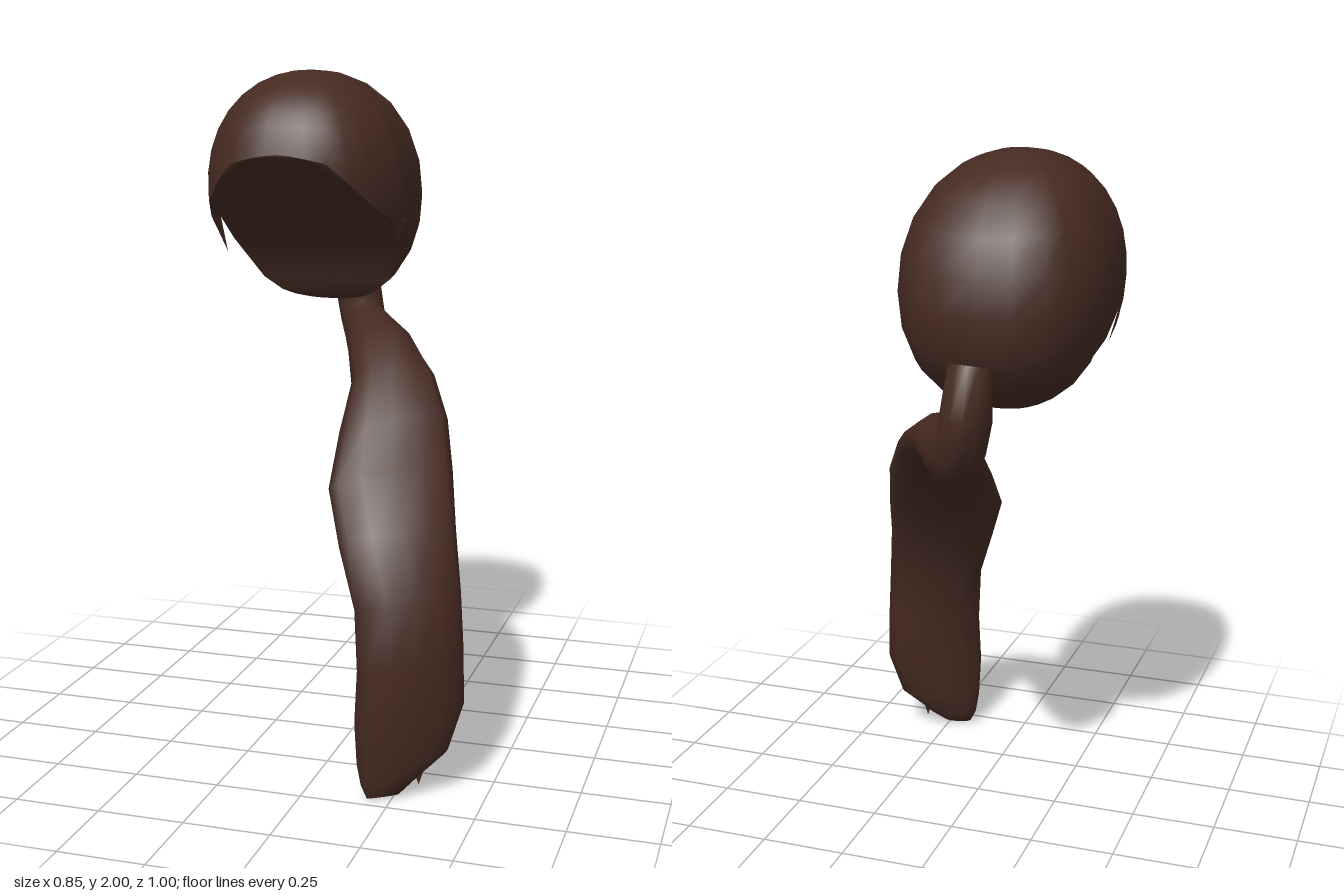
import * as THREE from 'three';
import { mergeVertices } from 'three/addons/utils/BufferGeometryUtils.js';

const V = (x, y, z) => new THREE.Vector3(x, y, z);

// Smooth surface from points and triangle indices
function surface(points, index) {
  let geo = new THREE.BufferGeometry();
  geo.setAttribute('position', new THREE.Float32BufferAttribute(points.flatMap((p) => [p.x, p.y, p.z]), 3));
  geo.setIndex(index);
  geo = mergeVertices(geo, 1e-5);
  geo.computeVertexNormals();
  return geo;
}

// Grid of points to a smooth surface; columns wrap around
function skin(rows) {
  const n = rows[0].length, index = [];
  for (let i = 0; i < rows.length - 1; i++) {
    for (let j = 0; j < n; j++) {
      const k = (j + 1) % n, a = i * n + j, b = i * n + k;
      index.push(a, b, b + n, a, b + n, a + n);
    }
  }
  return surface(rows.flat(), index);
}

// Cap shape: a leaning ellipsoid, boxy seen from above and rounder from the sides
const centre = V(-0.133, 1.65, -0.08), radius = V(0.295, 0.35, 0.36), lean = 0.12;
const PLAN = 2.6, UPRIGHT = 2.15;

function capPoint(d) {
  const plan = (Math.abs(d.x) ** PLAN + Math.abs(d.z) ** PLAN) ** (UPRIGHT / PLAN);
  const size = (plan + Math.abs(d.y) ** UPRIGHT) ** (1 / UPRIGHT);
  const q = d.clone().divideScalar(size).multiply(radius);
  q.z += lean * q.y;
  return q.add(centre);
}

// Hairline from forehead to nape as [z, y] or [z, y, half width]
const hairline = [[0.28, 1.77, 0], [0.275, 1.765, 0.04], [0.27, 1.757, 0.08], [0.26, 1.745],
  [0.23, 1.69], [0.17, 1.63], [0.07, 1.58], [0.01, 1.52], [-0.005, 1.47], [-0.035, 1.57],
  [-0.1, 1.5], [-0.16, 1.38], [-0.18, 1.34], [-0.2, 1.325], [-0.215, 1.318],
  [-0.22, 1.316, 0.06], [-0.223, 1.315, 0.03], [-0.225, 1.315, 0]];
const BROW = 2, SIDEBURN = [7, 8], TEMPLE = 10;
const rimDirs = hairline.map(([z, y, x]) => {
  const dy = (y - centre.y) / radius.y;
  const dz = (z - centre.z - lean * (y - centre.y)) / radius.z;
  const plan = Math.max(0, 1 - Math.abs(dy) ** UPRIGHT) ** (PLAN / UPRIGHT);
  const dx = x === undefined ? Math.max(0, plan - Math.abs(dz) ** PLAN) ** (1 / PLAN) : x / radius.x;
  return V(dx, dy, dz).normalize();
});
const flip = (d) => V(-d.x, d.y, d.z);

// Outer shell, from crown to hairline
function capGeometry() {
  const dirs = [...rimDirs, ...rimDirs.slice(1, -1).reverse().map(flip)];
  const rows = [], steps = 10;
  for (let i = steps; i >= 0; i--) {
    rows.push(dirs.map((d) => {
      const polar = Math.acos(d.y) * i / steps, az = Math.atan2(d.x, d.z);
      return capPoint(V(Math.sin(polar) * Math.sin(az), Math.cos(polar), Math.sin(polar) * Math.cos(az)));
    }));
  }
  return skin(rows);
}

// Underside at one side: a fan from the brow to the hairline down to the temple
function sideUnderside(side) {
  const points = rimDirs.slice(BROW, TEMPLE + 1)
    .filter((_, i) => !SIDEBURN.includes(i + BROW))
    .map((d) => capPoint(side > 0 ? d : flip(d)));
  const index = [];
  for (let i = 1; i < points.length - 1; i++) {
    index.push(0, ...(side > 0 ? [i + 1, i] : [i, i + 1]));
  }
  return surface(points, index);
}

// Underside in the middle: a web spanning from forehead over the temples to the nape
function middleUnderside() {
  const keep = rimDirs.filter((_, i) => i <= BROW || i >= TEMPLE);
  const n = keep.length, index = [];
  for (let i = 0; i < n - 1; i++) {
    index.push(i, n + i, n + i + 1, i, n + i + 1, i + 1);
  }
  return surface([...keep.map(capPoint), ...keep.map((d) => capPoint(flip(d)))], index);
}

// Ponytail: elliptical sections [x, y, z, half width, half thickness, turn]
function tailGeometry() {
  const s = [
    [-0.11, 1.465, -0.39, 0.06, 0.072, 0.2],
    [-0.11, 1.33, -0.425, 0.072, 0.077, 0.2],
    [-0.085, 1.23, -0.4, 0.07, 0.08, 0.3],
    [-0.03, 1.193, -0.3, 0.08, 0.092, 0.4],
    [0.055, 1.18, -0.12, 0.1, 0.078, 0.4],
    [0.13, 1.115, 0.02, 0.122, 0.062, 0.36],
    [0.163, 1.0, 0.127, 0.158, 0.048, 0.43],
    [0.187, 0.87, 0.238, 0.18, 0.05, 0.5],
    [0.235, 0.73, 0.337, 0.168, 0.066, 0.53],
    [0.28, 0.57, 0.393, 0.152, 0.077, 0.52],
    [0.292, 0.4, 0.405, 0.153, 0.072, 0.52],
    [0.29, 0.25, 0.407, 0.157, 0.064, 0.5],
    [0.272, 0.12, 0.412, 0.13, 0.05, 0.45],
    [0.238, 0.05, 0.428, 0.08, 0.035, 0.4],
    [0.225, 0.01, 0.445, 0.045, 0.012, 0.4]];
  const sides = 12;
  const pts = s.map((a) => V(a[0], a[1], a[2]));
  const rings = s.map(([, , , w, t, turn], i) => {
    const T = pts[Math.min(i + 1, s.length - 1)].clone().sub(pts[Math.max(i - 1, 0)]).normalize();
    const W = V(Math.cos(turn), 0.1, -Math.sin(turn)).normalize();
    const N = T.clone().cross(W).normalize();
    return Array.from({ length: sides }, (_, j) => {
      const a = j / sides * Math.PI * 2;
      return pts[i].clone().addScaledVector(W, w * Math.cos(a)).addScaledVector(N, t * Math.sin(a));
    });
  });
  const close = (p) => Array.from({ length: sides }, () => p.clone());
  return skin([close(pts[0]), ...rings, close(pts[pts.length - 1])]);
}

export function createModel() {
  const hair = new THREE.MeshStandardMaterial({ color: 0x452a21, side: THREE.DoubleSide });
  hair.name = 'dark brown hair';
  const group = new THREE.Group();
  group.name = 'hair';
  const add = (name, geo) => {
    const mesh = new THREE.Mesh(geo, hair);
    mesh.name = name;
    group.add(mesh);
    return mesh;
  };
  add('hairCap', capGeometry());
  add('leftUnderside', sideUnderside(1));
  add('rightUnderside', sideUnderside(-1));
  add('middleUnderside', middleUnderside());
  add('ponytail', tailGeometry());

  // Small loose tip beside the main end of the ponytail
  const tip = add('looseStrand', new THREE.ConeGeometry(0.035, 0.1, 6));
  tip.scale.z = 0.6;
  tip.rotation.set(Math.PI, 0.4, 0);
  tip.position.set(0.315, 0.085, 0.395);
  return group;
}
